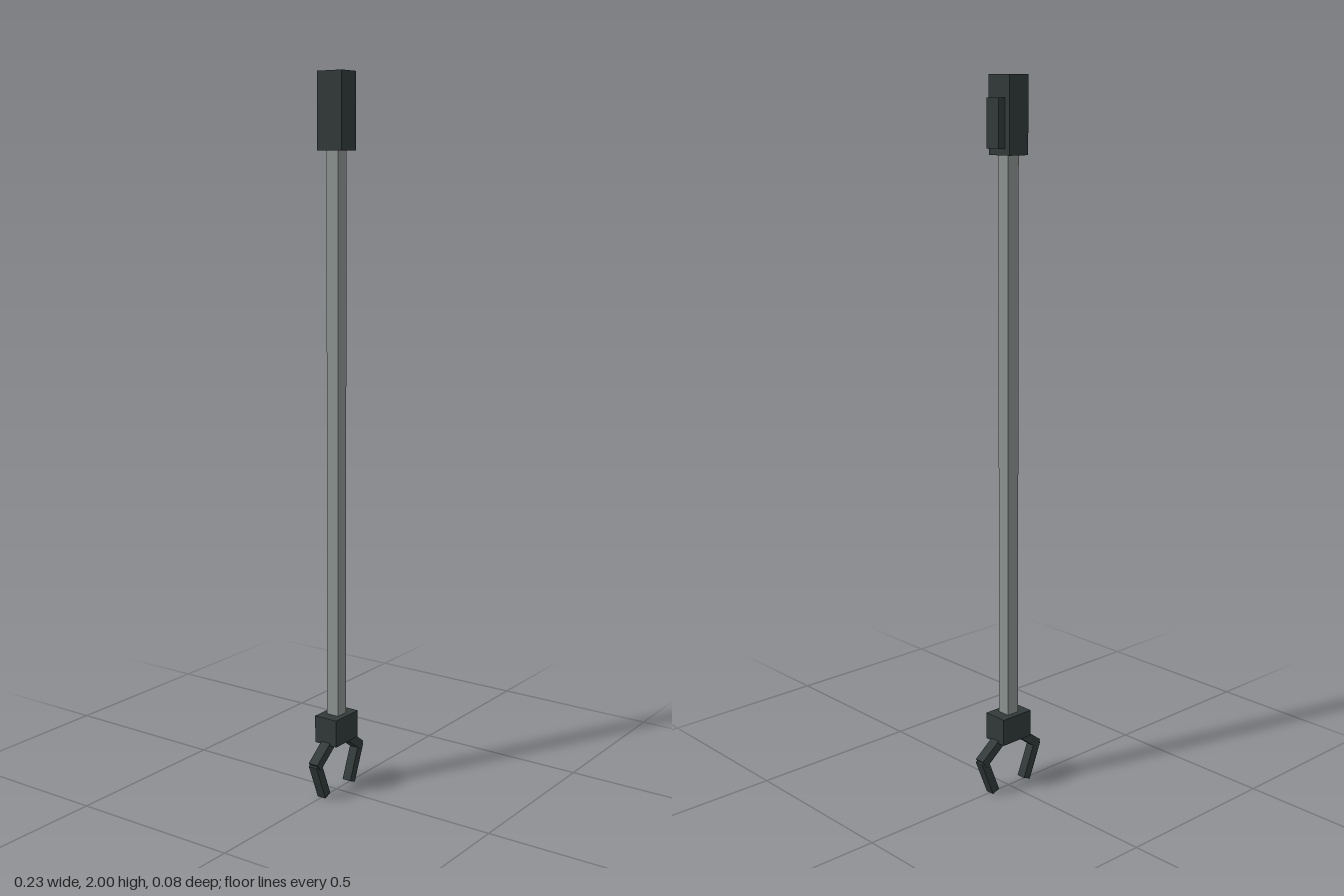
import * as THREE from 'three';

export function createModel() {
  const model = new THREE.Group();
  model.name = 'reachGrabber';

  const dark = new THREE.MeshStandardMaterial({ color: 0x323939 });
  dark.name = 'dark plastic';
  const metal = new THREE.MeshStandardMaterial({ color: 0x8b928f });
  metal.name = 'grey metal';

  function box(name, material, size, position) {
    const mesh = new THREE.Mesh(new THREE.BoxGeometry(...size), material);
    mesh.name = name;
    mesh.position.set(...position);
    model.add(mesh);
    return mesh;
  }

  // Bar running between two points in the x-y plane
  function bar(name, from, to, thickness, depth) {
    const dx = to[0] - from[0];
    const dy = to[1] - from[1];
    const mesh = box(name, dark, [thickness, Math.hypot(dx, dy), depth],
      [(from[0] + to[0]) / 2, (from[1] + to[1]) / 2, 0]);
    mesh.rotation.z = Math.atan2(-dx, dy);
  }

  // Grip, trigger and pole
  box('handle', dark, [0.066, 0.205, 0.08], [0, 1.8975, 0]);
  box('trigger', dark, [0.028, 0.13, 0.046], [0.042, 1.877, 0]);
  box('pole', metal, [0.038, 1.61, 0.038], [0, 1.005, 0]);

  // Claw housing
  box('clawHousing', dark, [0.105, 0.078, 0.073], [0, 0.19, 0]);

  // Mirrored pair of two-part claws
  for (const [side, s] of [['left', 1], ['right', -1]]) {
    bar(side + 'ClawUpper', [s * 0.03, 0.159], [s * 0.105, 0.102], 0.026, 0.03);
    bar(side + 'ClawLower', [s * 0.103, 0.109], [s * 0.061, 0.005], 0.025, 0.027);
  }

  return model;
}
